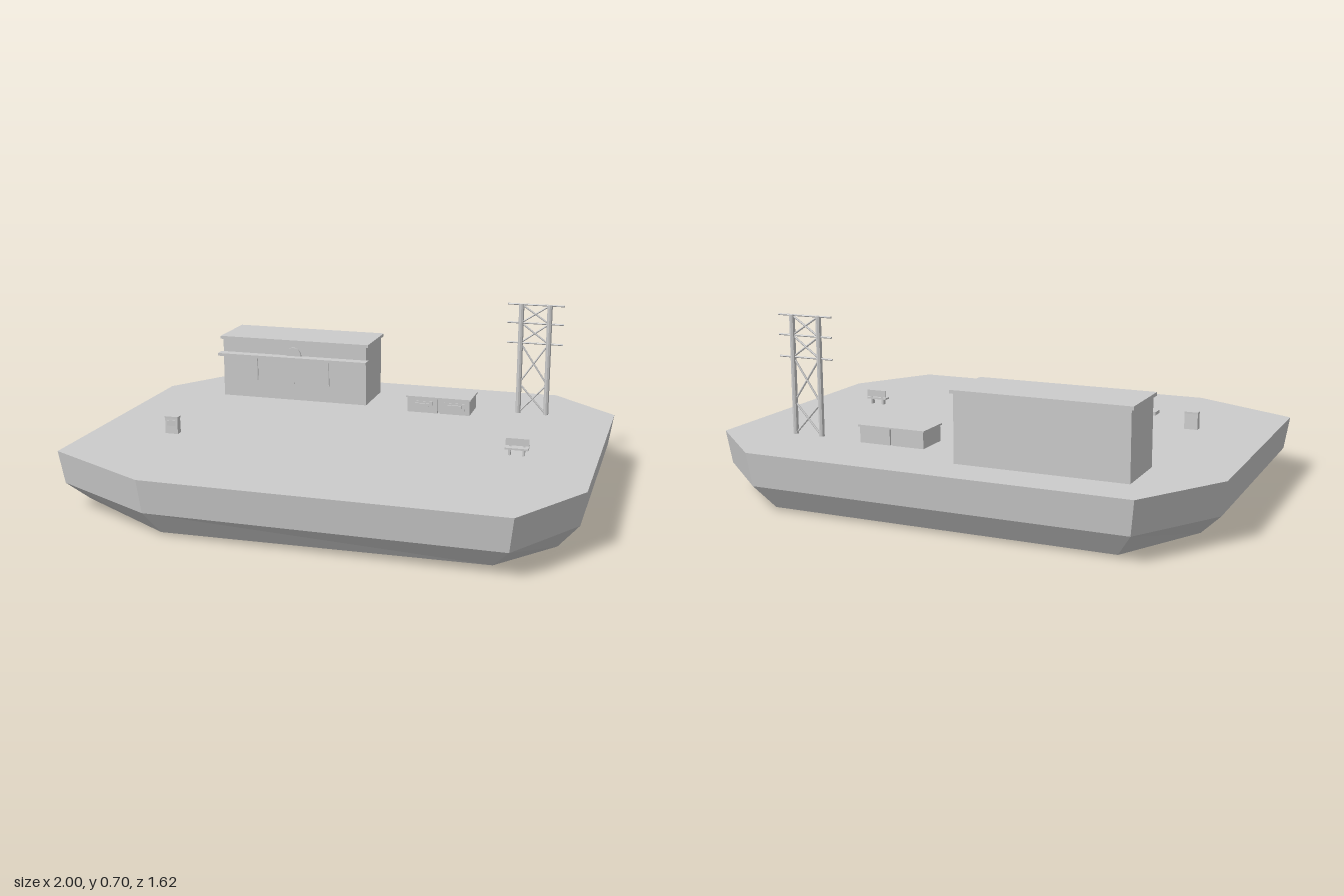
import * as THREE from 'three';

const mat = new THREE.MeshStandardMaterial({ color: 0xcccccc, flatShading: true, side: THREE.DoubleSide });

function add(parent, name, geometry, x = 0, y = 0, z = 0) {
  const mesh = new THREE.Mesh(geometry, mat);
  mesh.name = name;
  mesh.position.set(x, y, z);
  parent.add(mesh);
  return mesh;
}

// Box given by its extents on each axis
function box(parent, name, x0, x1, y0, y1, z0, z1) {
  return add(parent, name, new THREE.BoxGeometry(x1 - x0, y1 - y0, z1 - z0),
    (x0 + x1) / 2, (y0 + y1) / 2, (z0 + z1) / 2);
}

// Thin rod between two points
function rod(parent, name, a, b, r, sides = 6) {
  const p = new THREE.Vector3(...a), q = new THREE.Vector3(...b);
  const d = q.clone().sub(p);
  const mesh = add(parent, name, new THREE.CylinderGeometry(r, r, d.length(), sides));
  mesh.position.copy(p).add(q).multiplyScalar(0.5);
  mesh.quaternion.setFromUnitVectors(new THREE.Vector3(0, 1, 0), d.normalize());
  return mesh;
}

function group(parent, name) {
  const g = new THREE.Group();
  g.name = name;
  parent.add(g);
  return g;
}

const DECK = 0.23;

// Irregular eight-sided ground slab, stepped inwards towards a rough underside
function islandGeometry() {
  const outline = [[-0.78, -0.81], [0.72, -0.81], [1, -0.55], [1, 0.48],
    [0.8, 0.81], [-0.56, 0.81], [-1, 0.58], [-1, -0.47]];
  const bottomY = [0.01, 0.01, 0.03, 0, 0.025, 0.01, 0.03, 0.02];
  const rings = [
    outline.map(([x, z]) => [x, DECK, z]),
    outline.map(([x, z]) => [x * 0.98, 0.1, z * 0.98]),
    outline.map(([x, z], i) => [x * 0.9, bottomY[i], z * 0.905]),
  ];
  const pos = [];
  const tri = (...points) => points.forEach(p => pos.push(...p));
  const n = outline.length;
  for (let i = 0; i < n; i++) {
    const j = (i + 1) % n;
    tri([0, DECK, 0], rings[0][j], rings[0][i]);
    for (let r = 0; r < 2; r++) {
      tri(rings[r][i], rings[r][j], rings[r + 1][i]);
      tri(rings[r][j], rings[r + 1][j], rings[r + 1][i]);
    }
    tri([0, 0.01, 0], rings[2][i], rings[2][j]);
  }
  const g = new THREE.BufferGeometry();
  g.setAttribute('position', new THREE.Float32BufferAttribute(pos, 3));
  g.computeVertexNormals();
  return g;
}

export function createModel() {
  const model = new THREE.Group();
  model.name = 'islandStation';
  add(model, 'island', islandGeometry());

  // Main hall with flat roof, awning and clock
  const hall = group(model, 'hall');
  box(hall, 'hallWalls', -0.71, -0.05, DECK, 0.488, -0.64, -0.4);
  box(hall, 'hallRoof', -0.72, -0.04, 0.487, 0.5, -0.65, -0.392);
  box(hall, 'awning', -0.72, -0.04, 0.418, 0.43, -0.402, -0.355);
  add(hall, 'clock', new THREE.CylinderGeometry(0.035, 0.035, 0.012, 20), -0.38, 0.432, -0.397).rotation.x = Math.PI / 2;
  for (const x of [-0.55, -0.22]) {
    rod(hall, 'awningBracket', [x, 0.31, -0.399], [x, 0.42, -0.395], 0.003);
  }
  for (const x of [-0.55, -0.38, -0.22]) {
    box(hall, 'wallKnob', x - 0.003, x + 0.003, 0.303, 0.309, -0.401, -0.396);
  }

  // Pair of cabinets under a shared lid
  const cabinets = group(model, 'cabinets');
  for (const [x0, x1] of [[0.145, 0.276], [0.287, 0.415]]) {
    box(cabinets, 'cabinet', x0, x1, DECK, 0.294, -0.5, -0.36);
    box(cabinets, 'cabinetPanel', x0 + 0.02, x1 - 0.02, 0.25, 0.28, -0.361, -0.357);
    box(cabinets, 'cabinetHandle', x0 + 0.035, x1 - 0.035, 0.258, 0.272, -0.358, -0.35);
  }
  box(cabinets, 'cabinetCore', 0.27, 0.29, DECK, 0.294, -0.49, -0.375);
  box(cabinets, 'cabinetLid', 0.14, 0.42, 0.293, 0.3, -0.505, -0.355);

  // Lattice tower: two posts, three crossbars and diagonal bracing
  const tower = group(model, 'tower');
  const z = -0.475, left = 0.72, right = 0.602;
  for (const x of [left, right]) rod(tower, 'towerPost', [x, DECK, z], [x, 0.7, z], 0.011, 8);
  for (const y of [0.535, 0.62, 0.698]) rod(tower, 'crossbar', [0.545, y, z], [0.78, y, z], 0.004);
  const levels = [DECK, 0.36, 0.535, 0.62, 0.698];
  for (let i = 0; i < levels.length - 1; i++) {
    rod(tower, 'brace', [right, levels[i], z], [left, levels[i + 1], z], 0.004);
    rod(tower, 'brace', [left, levels[i], z], [right, levels[i + 1], z], 0.004);
  }

  // Small tapered kiosk
  const kiosk = group(model, 'kiosk');
  const body = new THREE.BoxGeometry(0.054, 0.065, 0.03);
  const p = body.attributes.position;
  for (let i = 0; i < p.count; i++) if (p.getY(i) > 0) p.setZ(i, p.getZ(i) * 0.8);
  body.computeVertexNormals();
  add(kiosk, 'kioskBody', body, -0.68, DECK + 0.0325, 0.223);
  box(kiosk, 'kioskTop', -0.708, -0.652, 0.292, 0.3, 0.209, 0.237);
  box(kiosk, 'kioskScreen', -0.698, -0.662, 0.262, 0.284, 0.234, 0.238);

  // Bench facing the front
  const bench = group(model, 'bench');
  box(bench, 'benchSeat', 0.65, 0.74, 0.253, 0.26, 0.113, 0.141);
  box(bench, 'benchBack', 0.65, 0.74, 0.264, 0.292, 0.113, 0.117);
  for (const x of [0.668, 0.722]) {
    box(bench, 'benchLeg', x - 0.004, x + 0.004, DECK, 0.253, 0.117, 0.137);
    box(bench, 'benchBackPost', x - 0.004, x + 0.004, 0.255, 0.27, 0.113, 0.117);
  }

  return model;
}
